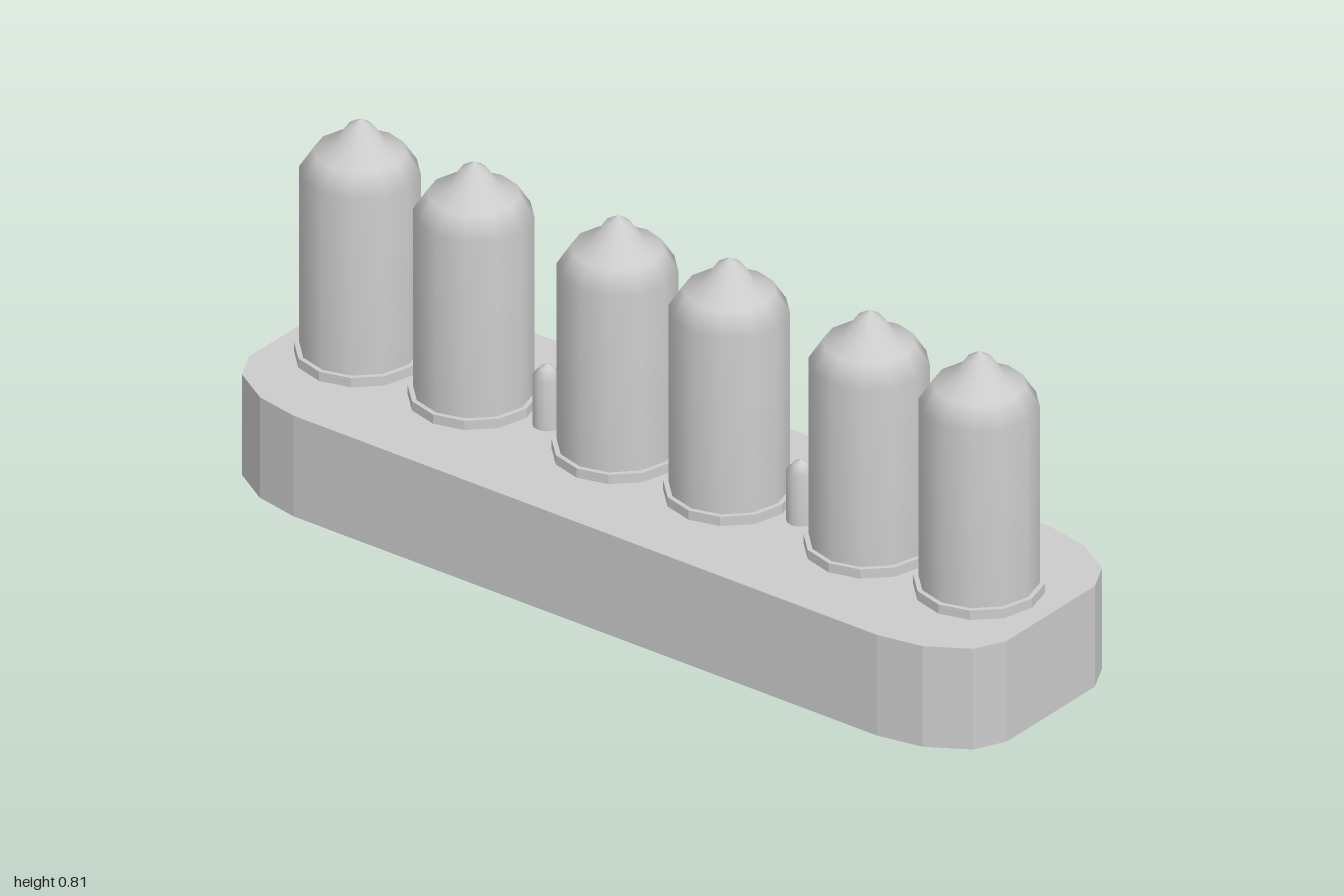
import * as THREE from 'three';

const grey = new THREE.MeshStandardMaterial({ color: 0xcccccc });
const greyFlat = new THREE.MeshStandardMaterial({ color: 0xcccccc, flatShading: true });
const BASE_TOP = 0.24;

function addMesh(parent, name, geometry, material, x = 0, y = 0, z = 0) {
  const mesh = new THREE.Mesh(geometry, material);
  mesh.name = name;
  mesh.position.set(x, y, z);
  parent.add(mesh);
}

const lathe = (profile, sides) =>
  new THREE.LatheGeometry(profile.map(([r, y]) => new THREE.Vector2(r, y)), sides);

export function createModel() {
  const model = new THREE.Group();
  model.name = 'capsuleRack';

  // Base slab: one faceted corner mirrored to all four, counter-clockwise
  const corner = [[1, 0.15], [0.965, 0.22], [0.875, 0.275], [0.77, 0.295]];
  const flipped = [...corner].reverse();
  const outline = [
    ...corner,
    ...flipped.map(([x, z]) => [-x, z]),
    ...corner.map(([x, z]) => [-x, -z]),
    ...flipped.map(([x, z]) => [x, -z]),
  ].map(([x, z]) => new THREE.Vector2(x, z));
  const slab = new THREE.ExtrudeGeometry(new THREE.Shape(outline), { depth: BASE_TOP, bevelEnabled: false });
  slab.rotateX(-Math.PI / 2);
  addMesh(model, 'base', slab, greyFlat);

  // Capsules: faceted collar, straight body, domed shoulder and nipple tip
  const collar = new THREE.CylinderGeometry(0.139, 0.139, 0.022, 12);
  const capsule = lathe([
    [0.128, BASE_TOP], [0.128, 0.682], [0.098, 0.729], [0.055, 0.748], [0.027, 0.788], [0, 0.805],
  ], 12);
  for (const x of [-0.82, -0.52, -0.14, 0.155, 0.525, 0.815]) {
    const group = new THREE.Group();
    group.name = 'capsule';
    group.position.set(x, 0, 0.005);
    addMesh(group, 'collar', collar, greyFlat, 0, BASE_TOP + 0.011);
    addMesh(group, 'body', capsule, grey);
    model.add(group);
  }

  // Small pegs between the pairs
  const peg = lathe([[0.031, BASE_TOP], [0.031, 0.358], [0.014, 0.377], [0, 0.385]], 12);
  for (const x of [-0.33, 0.34]) addMesh(model, 'peg', peg, grey, x);

  return model;
}
